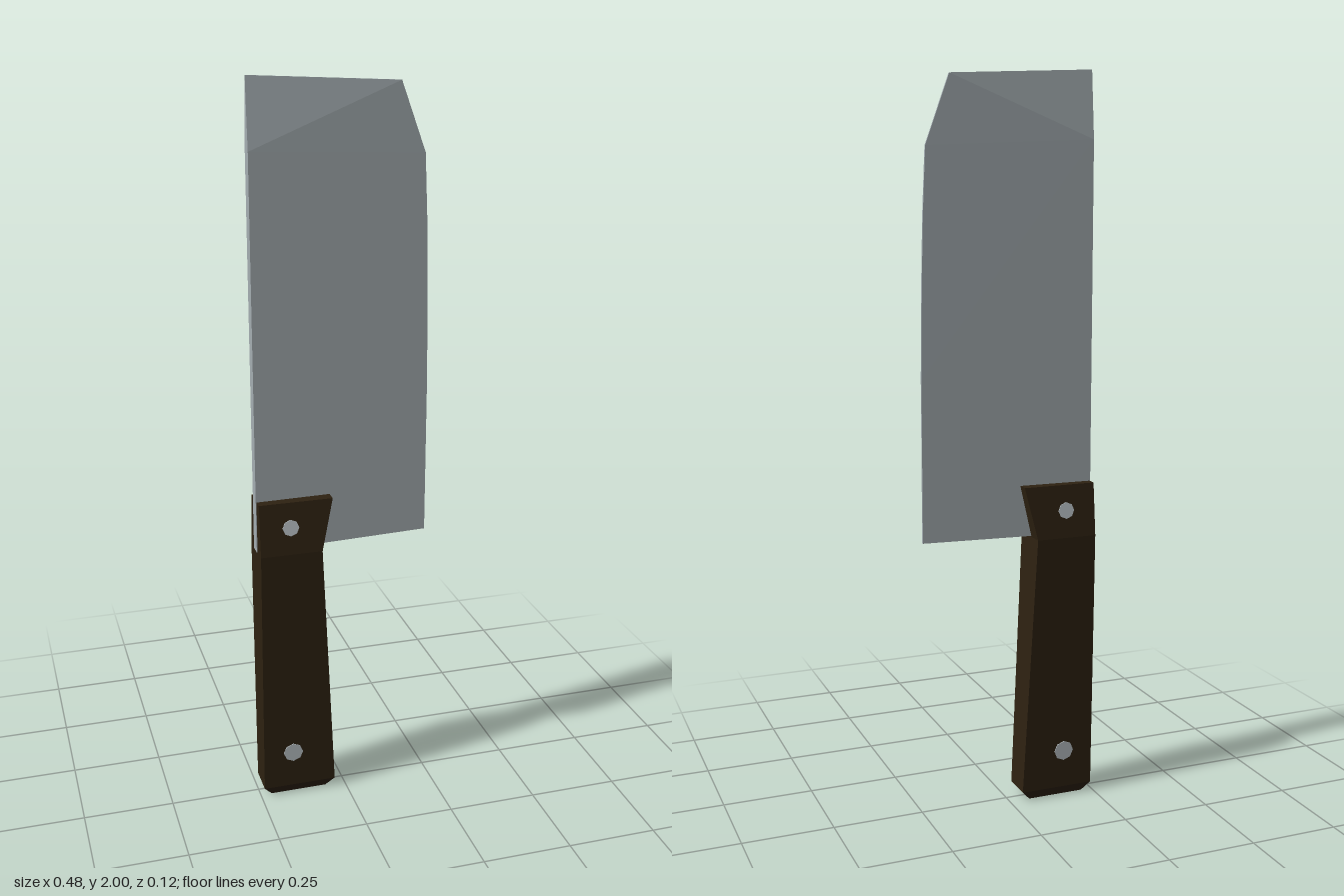
import * as THREE from 'three';

const steel = new THREE.MeshStandardMaterial({ color: 0xa6afb3 });
steel.name = 'steel';
const darkWood = new THREE.MeshStandardMaterial({ color: 0x2e2211 });
darkWood.name = 'dark wood';
const rivetMetal = new THREE.MeshStandardMaterial({ color: 0xbcc4c8 });
rivetMetal.name = 'rivet metal';

// Flat-shaded geometry from convex polygons, each split as a fan
function facetGeometry(polygons) {
  const pos = [];
  for (const p of polygons)
    for (let i = 1; i < p.length - 1; i++) pos.push(...p[0], ...p[i], ...p[i + 1]);
  const g = new THREE.BufferGeometry();
  g.setAttribute('position', new THREE.Float32BufferAttribute(pos, 3));
  g.computeVertexNormals();
  return g;
}

// Blade: outline of [x, y, half thickness], thick at the spine, thin at edge and tip
function bladeGeometry() {
  const outline = [
    [-0.243, 1.82, 0.017], [-0.243, 0.755, 0.017], [0.24, 0.763, 0.003],
    [0.239, 1.2, 0.003], [0.235, 1.45, 0.003], [0.23, 1.63, 0.003],
    [0.222, 1.8, 0.003], [0.156, 1.98, 0.003], [-0.243, 2, 0.001],
  ];
  const front = outline;
  const back = outline.map(([x, y, z]) => [x, y, -z]);
  const faces = [front, [back[0], ...back.slice(1).reverse()]];
  front.forEach((a, i) => {
    const j = (i + 1) % front.length;
    faces.push([a, back[i], back[j], front[j]]);
  });
  return facetGeometry(faces);
}

// Handle: rectangular sections of [y, left x, right x, half depth]
function handleGeometry() {
  const rings = [
    [0, -0.218, -0.058, 0.03], [0.027, -0.241, -0.033, 0.043],
    [0.755, -0.241, -0.07, 0.058], [0.9, -0.241, -0.037, 0.043],
  ].map(([y, a, b, z]) => [[a, y, z], [b, y, z], [b, y, -z], [a, y, -z]]);
  const faces = [[...rings[0]].reverse(), rings[rings.length - 1]];
  for (let r = 0; r < rings.length - 1; r++)
    for (let i = 0; i < 4; i++) {
      const j = (i + 1) % 4;
      faces.push([rings[r][i], rings[r][j], rings[r + 1][j], rings[r + 1][i]]);
    }
  return facetGeometry(faces);
}

export function createModel() {
  const model = new THREE.Group();
  model.name = 'cleaver';
  const add = (name, geometry, material) => {
    const mesh = new THREE.Mesh(geometry, material);
    mesh.name = name;
    model.add(mesh);
    return mesh;
  };
  add('blade', bladeGeometry(), steel);
  add('handle', handleGeometry(), darkWood);

  // Rivet heads, lying flush on the sloped faces of the handle
  const rivets = [
    { name: 'upperRivet', y: 0.83, z: 0.0503, r: 0.023, tilt: -0.103 },
    { name: 'lowerRivet', y: 0.135, z: 0.0453, r: 0.028, tilt: 0.021 },
  ];
  for (const { name, y, z, r, tilt } of rivets)
    for (const side of [1, -1]) {
      const disc = new THREE.CylinderGeometry(r, r, 0.004, 8).toNonIndexed();
      disc.computeVertexNormals();
      const rivet = add(name + (side > 0 ? 'Front' : 'Back'), disc, rivetMetal);
      rivet.position.set(-0.156, y, side * z);
      rivet.rotation.x = side * (Math.PI / 2 + tilt);
    }
  return model;
}
